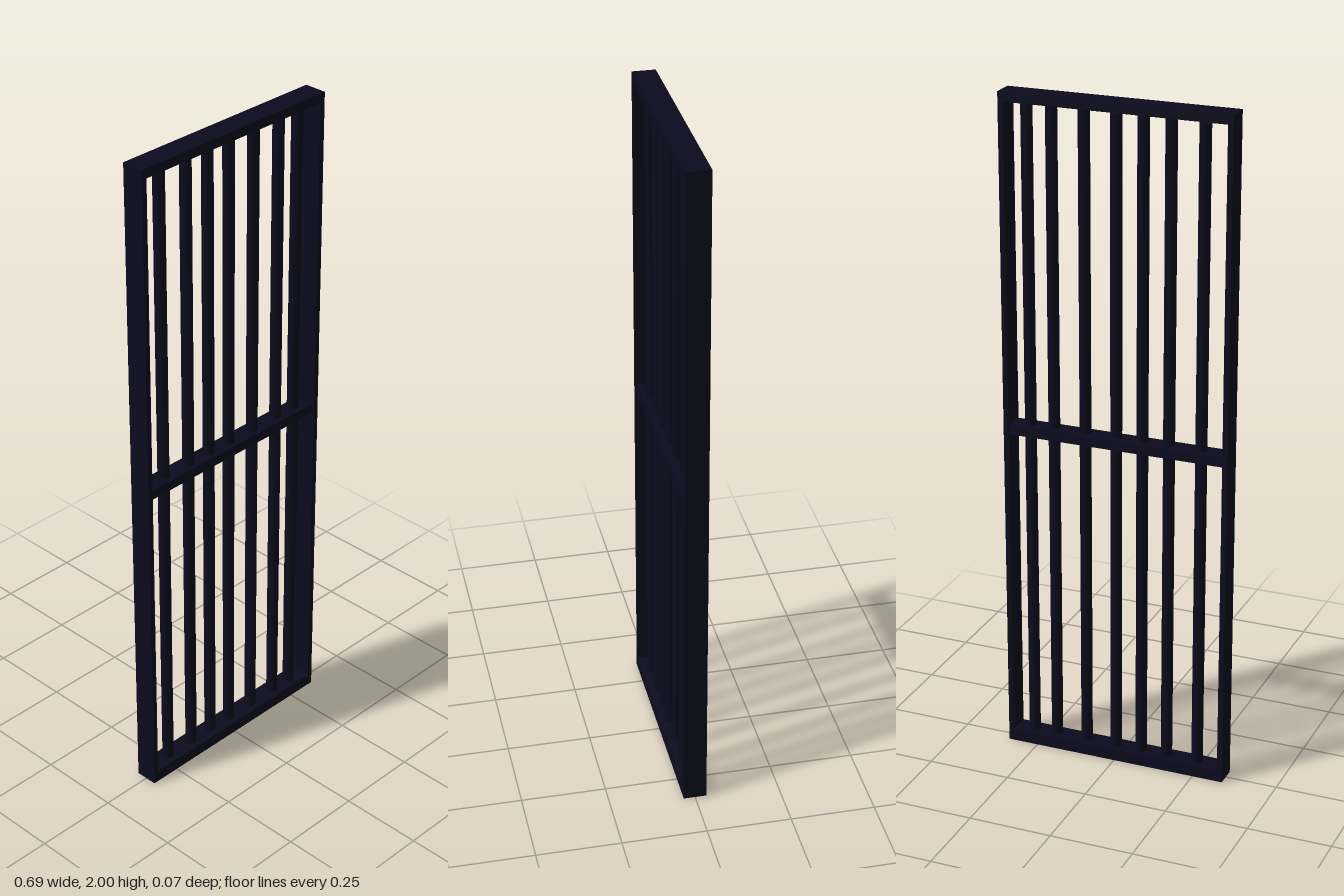
import * as THREE from 'three';

export function createModel() {
  const model = new THREE.Group();
  const iron = new THREE.MeshStandardMaterial({ color: 0x0b0b1e });
  iron.name = 'dark iron';

  const add = (name, geometry, x, y) => {
    const mesh = new THREE.Mesh(geometry, iron);
    mesh.name = name;
    mesh.position.set(x, y, 0);
    model.add(mesh);
  };

  const halfWidth = 0.343, depth = 0.068, post = 0.016;

  // Outer frame: thin side posts between the top and bottom rails
  add('topRail', new THREE.BoxGeometry(halfWidth * 2, 0.028, depth), 0, 1.986);
  add('bottomRail', new THREE.BoxGeometry(halfWidth * 2, 0.036, depth), 0, 0.018);
  for (const side of [-1, 1]) {
    add(side > 0 ? 'leftPost' : 'rightPost',
      new THREE.BoxGeometry(post, 1.936, depth), side * (halfWidth - post / 2), 1.004);
  }

  // Cross rail at mid height
  add('middleRail', new THREE.BoxGeometry((halfWidth - post) * 2, 0.03, 0.06), 0, 1.01);

  // Round vertical bars, slightly uneven in spacing
  const bar = new THREE.CylinderGeometry(0.017, 0.017, 1.95, 20, 1, true);
  [-0.252, -0.155, -0.074, 0.006, 0.101, 0.198, 0.272].forEach((x, i) => {
    add(`bar${i + 1}`, bar, x, 1.003);
  });

  return model;
}
